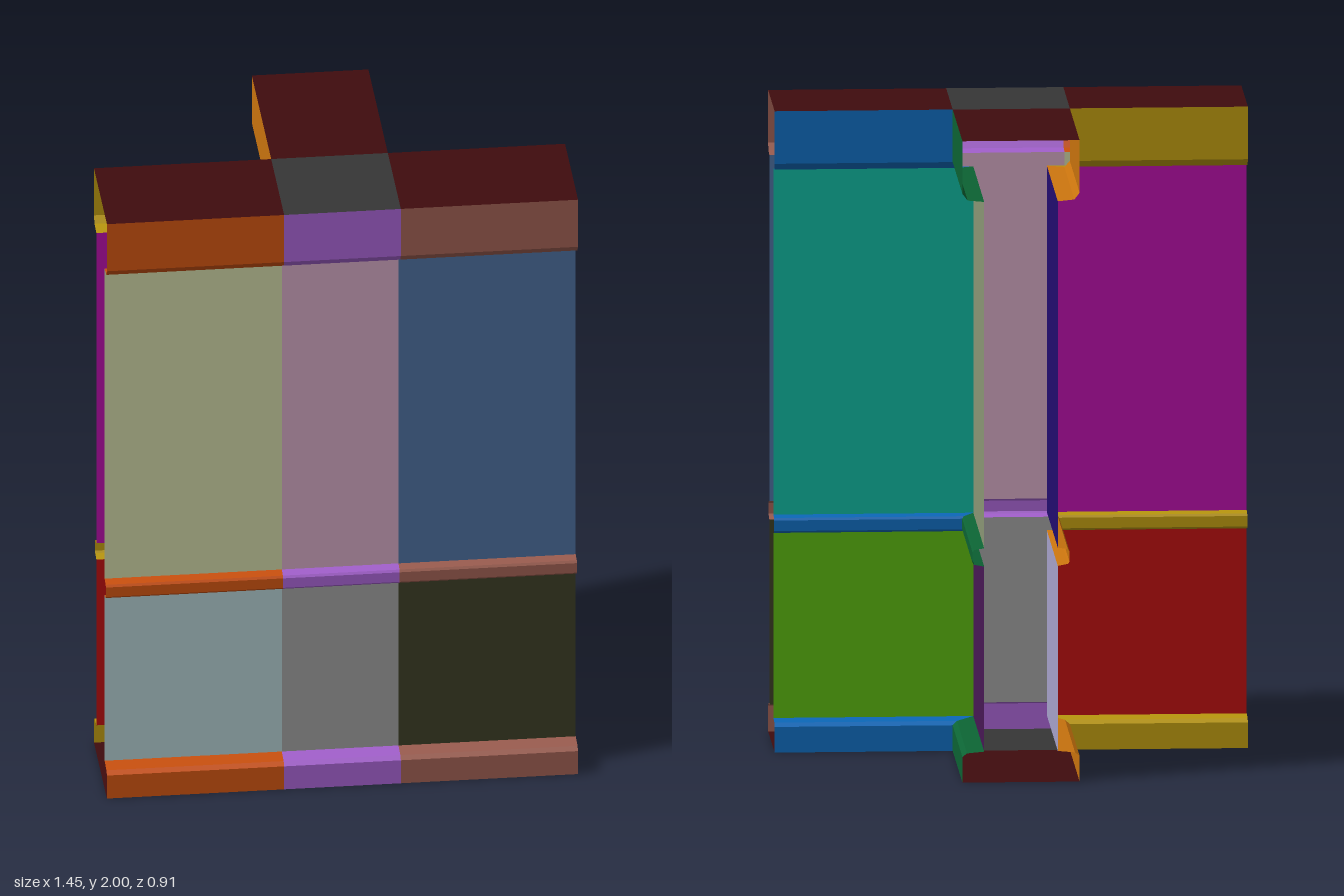
import * as THREE from 'three';

// Plan sizes of the T-shaped wall junction
const ARM = 0.727, HALF = 0.18, FRONT = 0.455, INNER = 0.09, BACK = -0.455;

// Profiles as [inset from the outer outline, height]
const IN = 0.067;
const PROFILES = {
  baseTrim: [[0, 0], [0, 0.08], [0.014, 0.091], [IN, 0.096]],
  lowerPanel: [[IN, 0.096], [IN, 0.673]],
  middleTrim: [[IN, 0.673], [0.036, 0.679], [0.031, 0.685], [0.031, 0.718], [0.036, 0.725], [IN, 0.73]],
  upperPanel: [[IN, 0.73], [IN, 1.81]],
  topTrim: [[IN, 1.81], [0.016, 1.815], [0, 1.836], [0, 2]],
};

const material = (color) => new THREE.MeshStandardMaterial({ color, side: THREE.DoubleSide });

// Sweep a profile from plan point a(inset) to b(inset), left to right as seen from outside
function strip(profile, a, b) {
  const pos = [];
  for (let i = 0; i < profile.length - 1; i++) {
    const [d0, y0] = profile[i], [d1, y1] = profile[i + 1];
    const corner = (f, d, y) => { const [x, z] = f(d); return [x, y, z]; };
    const p = corner(a, d0, y0), q = corner(b, d0, y0);
    const r = corner(b, d1, y1), s = corner(a, d1, y1);
    pos.push(...p, ...q, ...r, ...p, ...r, ...s);
  }
  const g = new THREE.BufferGeometry();
  g.setAttribute('position', new THREE.Float32BufferAttribute(pos, 3));
  g.computeVertexNormals();
  return g;
}

export function createModel() {
  const model = new THREE.Group();
  model.name = 'wallJunction';

  // Plan points that move with the inset; inner corners are mitred
  const front = (x) => (d) => [x, FRONT - d];
  const armEnd = (s) => (d) => [s * ARM, INNER + d];
  const innerCorner = (s) => (d) => [s * (HALF - d), INNER + d];
  const stemEnd = (s) => (d) => [s * (HALF - d), BACK];

  // name, start, end, trim colour, upper panel colour, lower panel colour
  const walls = [
    ['frontRightWall', front(-ARM), front(-HALF), 0xca500e, 0xc5cb9d, 0xaac4c6],
    ['frontCentreWall', front(-HALF), front(HALF), 0xa25fcc, 0xc89fb8, 0x979797],
    ['frontLeftWall', front(HALF), front(ARM), 0x9a5c4f, 0x486997, 0x383a22],
    ['backLeftWall', armEnd(1), innerCorner(1), 0x0c68b8, 0x0cae98, 0x56ae0c],
    ['stemLeftWall', innerCorner(1), stemEnd(1), 0x0c6434, 0x8c9876, 0x481856],
    ['stemRightWall', stemEnd(-1), innerCorner(-1), 0xca740e, 0x220c70, 0xa8a4cc],
    ['backRightWall', innerCorner(-1), armEnd(-1), 0xb8960e, 0xb00ca2, 0xb40c0c],
  ];
  for (const [name, a, b, trim, upper, lower] of walls) {
    const wall = new THREE.Group();
    wall.name = name;
    const mats = { trim: material(trim), upper: material(upper), lower: material(lower) };
    for (const [part, profile] of Object.entries(PROFILES)) {
      const key = part === 'upperPanel' ? 'upper' : part === 'lowerPanel' ? 'lower' : 'trim';
      const mesh = new THREE.Mesh(strip(profile, a, b), mats[key]);
      mesh.name = part;
      wall.add(mesh);
    }
    model.add(wall);
  }

  // Flat top and bottom caps: two arms, the stem and the centre square
  const red = material(0x400c0e), grey = material(0x363636);
  const caps = [
    ['RightArm', -ARM, -HALF, INNER, FRONT, red],
    ['LeftArm', HALF, ARM, INNER, FRONT, red],
    ['Stem', -HALF, HALF, BACK, INNER, red],
    ['Centre', -HALF, HALF, INNER, FRONT, grey],
  ];
  for (const [level, y, turn] of [['top', 2, -1], ['bottom', 0, 1]]) {
    for (const [name, x0, x1, z0, z1, mat] of caps) {
      const g = new THREE.PlaneGeometry(x1 - x0, z1 - z0).rotateX(turn * Math.PI / 2);
      const cap = new THREE.Mesh(g, mat);
      cap.name = level + name + 'Cap';
      cap.position.set((x0 + x1) / 2, y, (z0 + z1) / 2);
      model.add(cap);
    }
  }
  return model;
}
